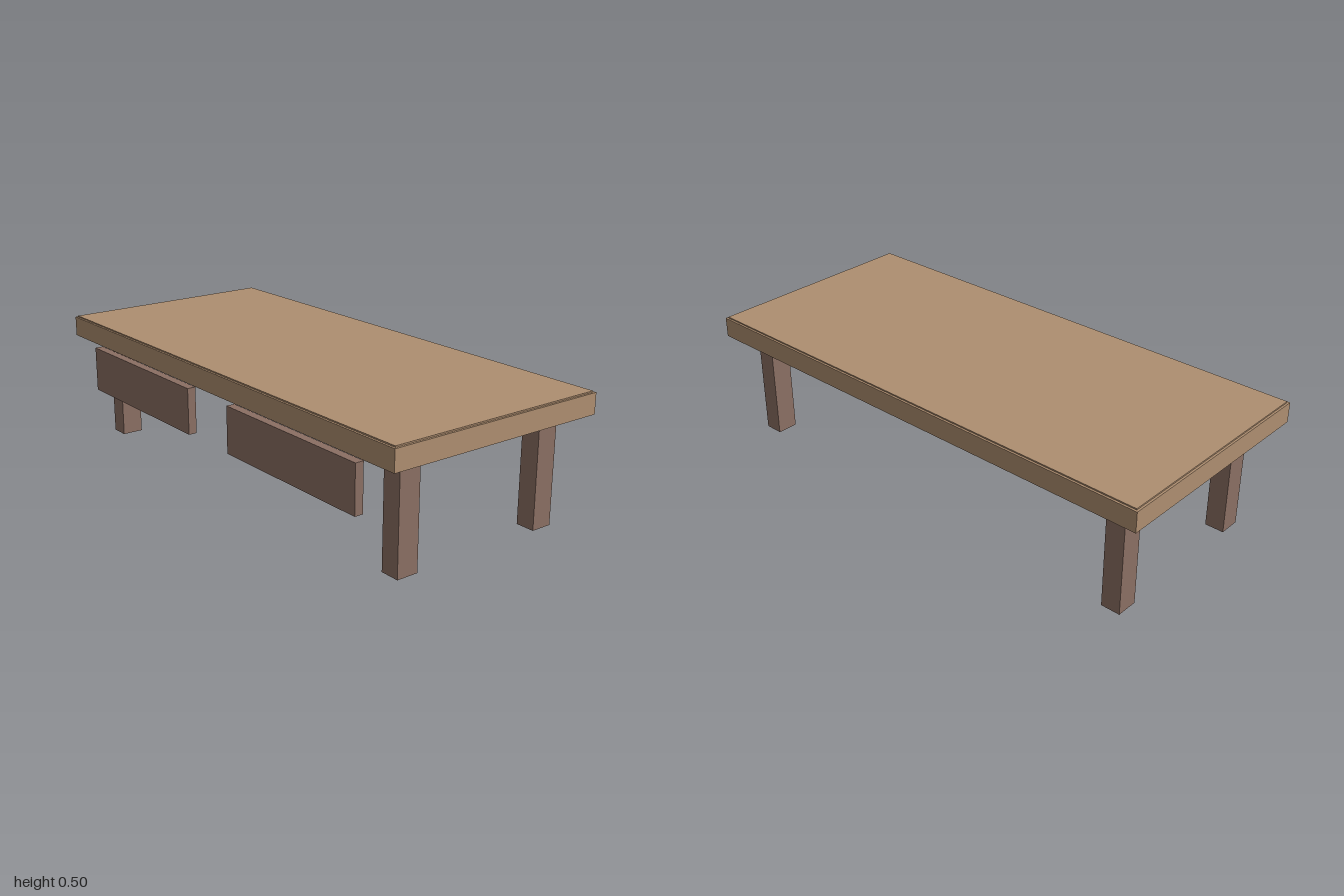
import * as THREE from 'three';

export function createModel() {
  const table = new THREE.Group();
  table.name = 'lowTable';

  const lightWood = new THREE.MeshStandardMaterial({ color: 0xae8e70 });
  lightWood.name = 'lightWood';
  const darkWood = new THREE.MeshStandardMaterial({ color: 0x8b6f63 });
  darkWood.name = 'darkWood';

  // Box given by its extents along each axis
  function addBox(name, material, [x0, x1], [y0, y1], [z0, z1]) {
    const mesh = new THREE.Mesh(new THREE.BoxGeometry(x1 - x0, y1 - y0, z1 - z0), material);
    mesh.position.set((x0 + x1) / 2, (y0 + y1) / 2, (z0 + z1) / 2);
    mesh.name = name;
    table.add(mesh);
  }

  // Top: main slab, thin inset surface and recessed underframe
  addBox('tabletop', lightWood, [-1, 1], [0.415, 0.493], [-0.449, 0.446]);
  addBox('topSurface', lightWood, [-0.992, 0.992], [0.493, 0.498], [-0.441, 0.438]);
  addBox('underframe', darkWood, [-0.972, 0.972], [0.401, 0.415], [-0.422, 0.418]);

  // Legs and front panels, mirrored left and right
  for (const [side, label] of [[1, 'left'], [-1, 'right']]) {
    const span = (a, b) => (side > 0 ? [a, b] : [-b, -a]);
    addBox(label + 'FrontLeg', darkWood, span(0.831, 0.906), [0, 0.401], [0.253, 0.338]);
    addBox(label + 'BackLeg', darkWood, span(0.831, 0.906), [0, 0.401], [-0.369, -0.285]);
    addBox(label + 'FrontPanel', darkWood, span(0.126, 0.828), [0.22, 0.398], [0.418, 0.451]);
  }

  return table;
}
